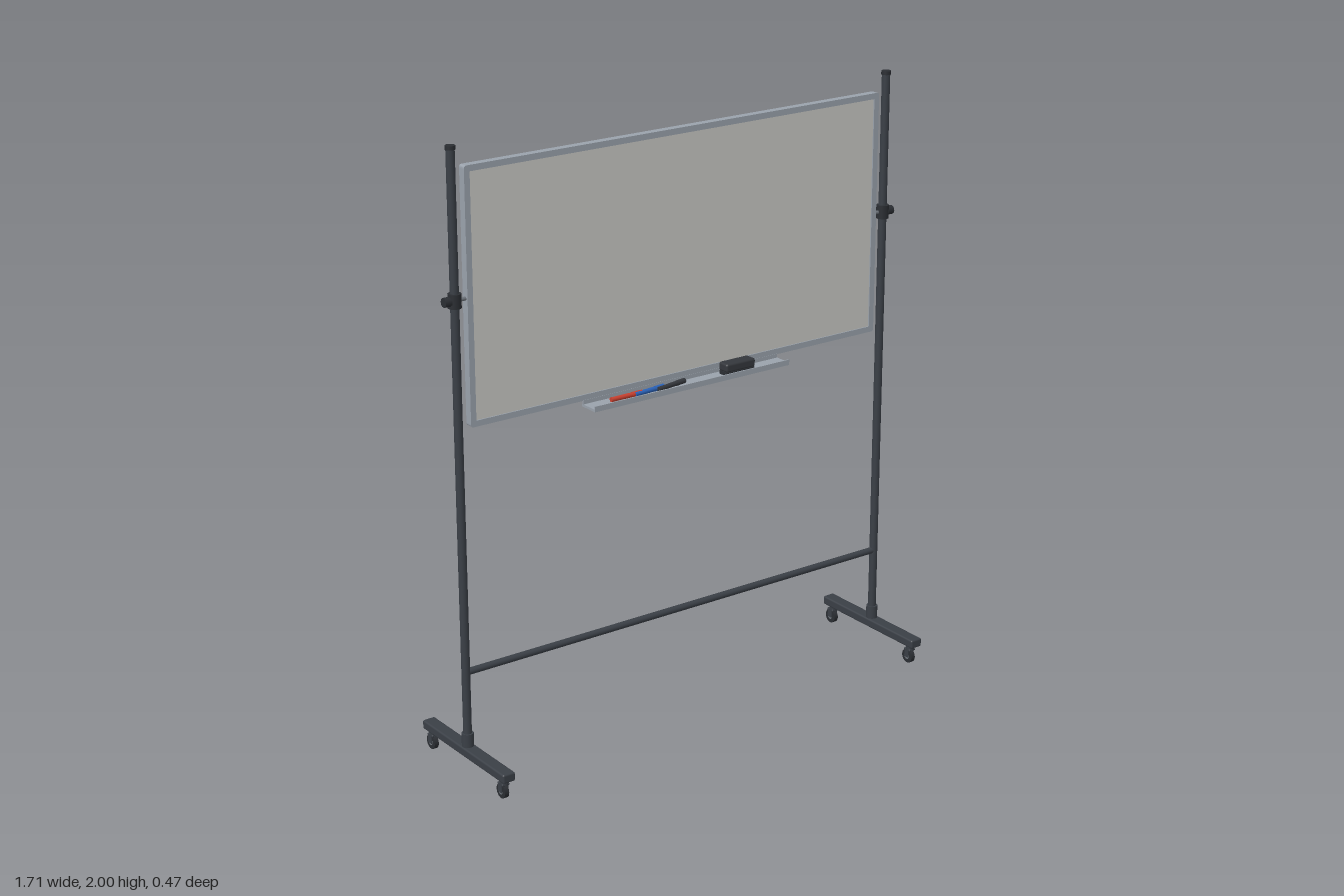
import * as THREE from 'three';
import { RoundedBoxGeometry } from 'three/addons/geometries/RoundedBoxGeometry.js';

const mat = (name, color, side = THREE.FrontSide) => {
  const m = new THREE.MeshStandardMaterial({ color, side });
  m.name = name;
  return m;
};

export function createModel() {
  const model = new THREE.Group();
  model.name = 'rollingWhiteboard';
  const steel = mat('dark steel', 0x3a3f46);
  const rubber = mat('black rubber', 0x2b2e33);
  const hubGrey = mat('hub grey', 0x6d737a);
  const aluminium = mat('aluminium', 0x9aa2ac);
  const white = mat('board surface', 0xc8c8c4);
  const red = mat('marker red', 0xc8402f);
  const blue = mat('marker blue', 0x2a62b8);
  const black = mat('marker black', 0x34373c);

  const add = (parent, name, geo, material, x = 0, y = 0, z = 0) => {
    const mesh = new THREE.Mesh(geo, material);
    mesh.name = name;
    mesh.position.set(x, y, z);
    parent.add(mesh);
    return mesh;
  };
  const box = (w, h, d, r = 0) =>
    r ? new RoundedBoxGeometry(w, h, d, 2, r) : new THREE.BoxGeometry(w, h, d);
  const cyl = (r, h, n = 24, r2 = r) => new THREE.CylinderGeometry(r, r2, h, n);
  const cylX = (r, h, n = 24) => cyl(r, h, n).rotateZ(Math.PI / 2);

  // Swivel caster: stem, fork and wheel, trailing slightly backwards
  function caster(z) {
    const g = new THREE.Group();
    g.name = 'caster';
    g.position.z = z;
    add(g, 'swivelStem', cyl(0.014, 0.02, 16), steel, 0, 0.058, 0);
    add(g, 'forkCrown', box(0.026, 0.008, 0.03, 0.003), steel, 0, 0.05, -0.003);
    for (const s of [-1, 1])
      add(g, 'forkArm', box(0.004, 0.03, 0.02, 0.0015), steel, s * 0.011, 0.037, -0.005);
    add(g, 'wheel', cylX(0.024, 0.015), rubber, 0, 0.024, -0.007);
    add(g, 'wheelHub', cylX(0.011, 0.018, 16), hubGrey, 0, 0.024, -0.007);
    return g;
  }

  // One upright with foot, casters and pivot clamp, mirrored by side s
  for (const s of [-1, 1]) {
    const side = new THREE.Group();
    side.name = s > 0 ? 'leftStand' : 'rightStand';
    side.position.x = s * 0.815;
    model.add(side);
    add(side, 'post', cyl(0.0135, 1.9), steel, 0, 1.04, 0);
    add(side, 'postCap', cyl(0.0155, 0.012), rubber, 0, 1.994, 0);
    add(side, 'footSocket', cyl(0.019, 0.05), steel, 0, 0.115, 0);
    add(side, 'foot', box(0.044, 0.03, 0.47, 0.006), steel, 0, 0.081, 0);
    for (const z of [-0.205, 0.203]) side.add(caster(z));
    add(side, 'clampCollar', cyl(0.0205, 0.044), rubber, 0, 1.536, 0);
    add(side, 'pivotPin', cylX(0.006, 0.05, 16), hubGrey, -s * 0.025, 1.536, 0);
    add(side, 'clampKnob', cylX(0.015, 0.022, 12), rubber, s * 0.027, 1.536, 0);
  }
  add(model, 'crossbar', cylX(0.011, 1.63), steel, 0, 0.345, 0);

  // Board: frame with a rectangular opening and a writing panel on both sides
  const W = 0.778, Y0 = 1.137, Y1 = 1.936, T = 0.019, R = 0.01;
  const outline = new THREE.Shape();
  outline.moveTo(-W + R, Y0);
  outline.lineTo(W - R, Y0).quadraticCurveTo(W, Y0, W, Y0 + R);
  outline.lineTo(W, Y1 - R).quadraticCurveTo(W, Y1, W - R, Y1);
  outline.lineTo(-W + R, Y1).quadraticCurveTo(-W, Y1, -W, Y1 - R);
  outline.lineTo(-W, Y0 + R).quadraticCurveTo(-W, Y0, -W + R, Y0);
  const hole = new THREE.Path();
  hole.moveTo(-W + T, Y0 + T);
  hole.lineTo(-W + T, Y1 - T);
  hole.lineTo(W - T, Y1 - T);
  hole.lineTo(W - T, Y0 + T);
  hole.closePath();
  outline.holes.push(hole);
  const frame = new THREE.ExtrudeGeometry(outline, { depth: 0.026, bevelEnabled: false, curveSegments: 5 });
  add(model, 'boardFrame', frame, aluminium, 0, 0, -0.014);
  add(model, 'writingPanel', box(2 * (W - T), Y1 - Y0 - 2 * T, 0.018), white, 0, (Y0 + Y1) / 2, -0.001);

  // Pen tray with a raised front lip
  const tray = new THREE.Group();
  tray.name = 'penTray';
  model.add(tray);
  add(tray, 'trayShelf', box(0.752, 0.008, 0.068), aluminium, 0, 1.122, 0.04);
  add(tray, 'trayLip', box(0.752, 0.018, 0.004), aluminium, 0, 1.127, 0.073);
  add(tray, 'trayBack', box(0.752, 0.02, 0.006), aluminium, 0, 1.129, 0.01);

  // Markers lying on the tray
  function marker(name, material, x, z, turn) {
    const g = new THREE.Group();
    g.name = name;
    g.position.set(x, 1.1345, z);
    g.rotation.y = turn;
    add(g, 'barrel', cylX(0.0075, 0.08, 16), material, -0.018);
    add(g, 'cap', cylX(0.0085, 0.036, 16), material, 0.04);
    model.add(g);
  }
  marker('redMarker', red, -0.24, 0.048, 0);
  marker('blueMarker', blue, -0.153, 0.047, 0.1);
  marker('blackMarker', black, -0.068, 0.046, 0.17);

  // Eraser: felt pad under a rounded grip
  add(model, 'eraserFelt', box(0.11, 0.012, 0.04), rubber, 0.187, 1.132, 0.048);
  add(model, 'eraserGrip', box(0.114, 0.028, 0.044, 0.007), black, 0.187, 1.152, 0.048);
  return model;
}
